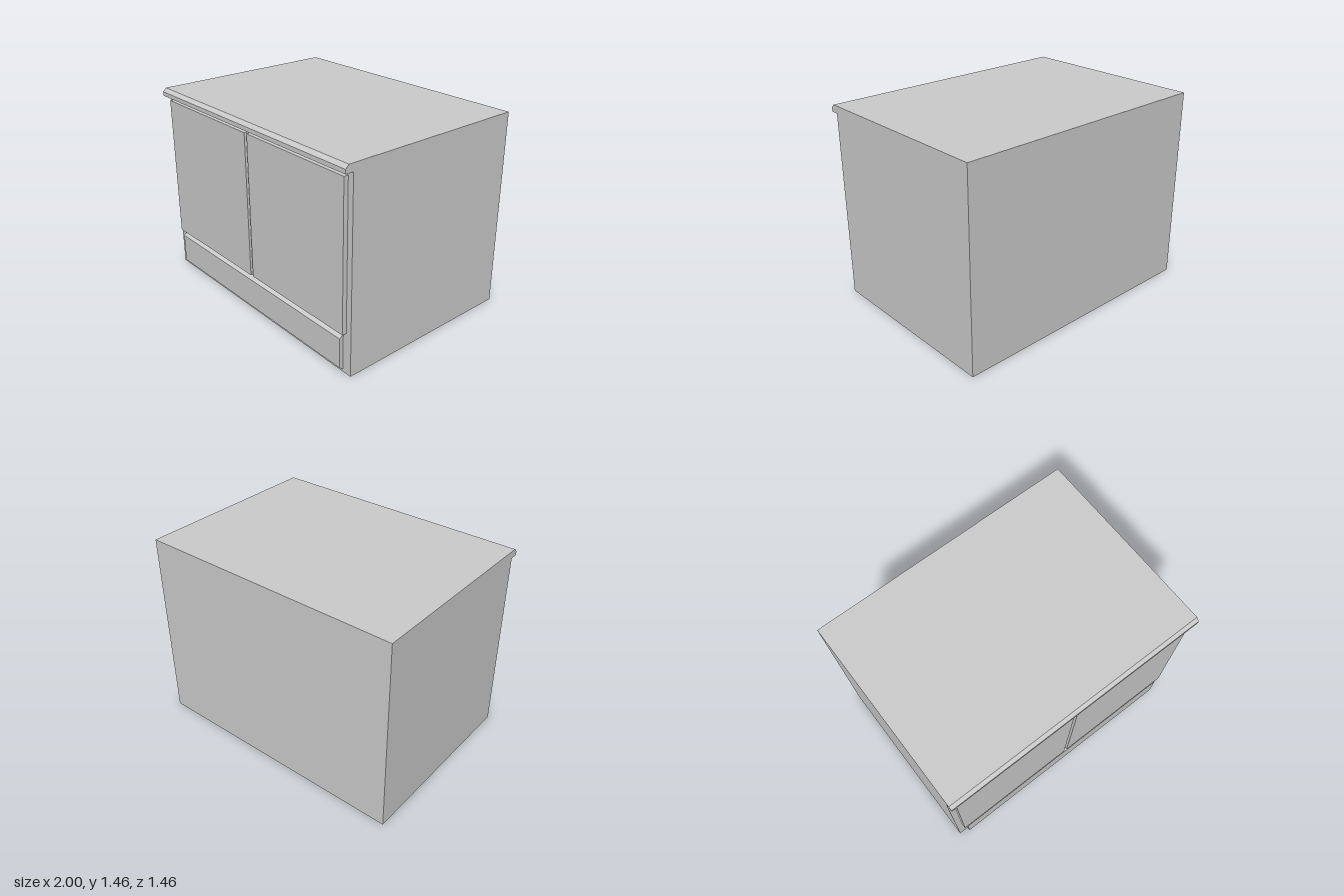
import * as THREE from 'three';

const material = new THREE.MeshStandardMaterial({ color: 0xcccccc, flatShading: true });

// Extrudes a side profile of [z, y] points along x, between x0 and x1.
function extrudeAcross(name, profile, x0, x1) {
  const shape = new THREE.Shape(profile.map(([z, y]) => new THREE.Vector2(z, y)));
  const geometry = new THREE.ExtrudeGeometry(shape, { depth: x1 - x0, bevelEnabled: false });
  geometry.rotateY(-Math.PI / 2);
  geometry.translate(x1, 0, 0);
  const mesh = new THREE.Mesh(geometry, material);
  mesh.name = name;
  return mesh;
}

export function createModel() {
  const group = new THREE.Group();
  group.name = 'cabinet';

  const back = -0.73, face = 0.67;

  // Carcass with the bevelled worktop lip overhanging the front
  group.add(extrudeAcross('carcass', [
    [back, 0], [face, 0], [face, 1.4], [0.73, 1.4],
    [0.73, 1.43], [0.705, 1.455], [back, 1.455],
  ], -1, 1));

  // Pair of flat doors
  const doorProfile = [[face, 0.305], [0.703, 0.305], [0.703, 1.368], [face, 1.368]];
  group.add(extrudeAcross('rightDoor', doorProfile, -0.956, -0.011));
  group.add(extrudeAcross('leftDoor', doorProfile, 0.015, 0.957));

  // Drawer front, bevelled along its top and bottom edges
  group.add(extrudeAcross('drawerFront', [
    [face, 0.018], [0.7, 0.043], [0.7, 0.262], [face, 0.286],
  ], -0.929, 0.929));

  return group;
}
